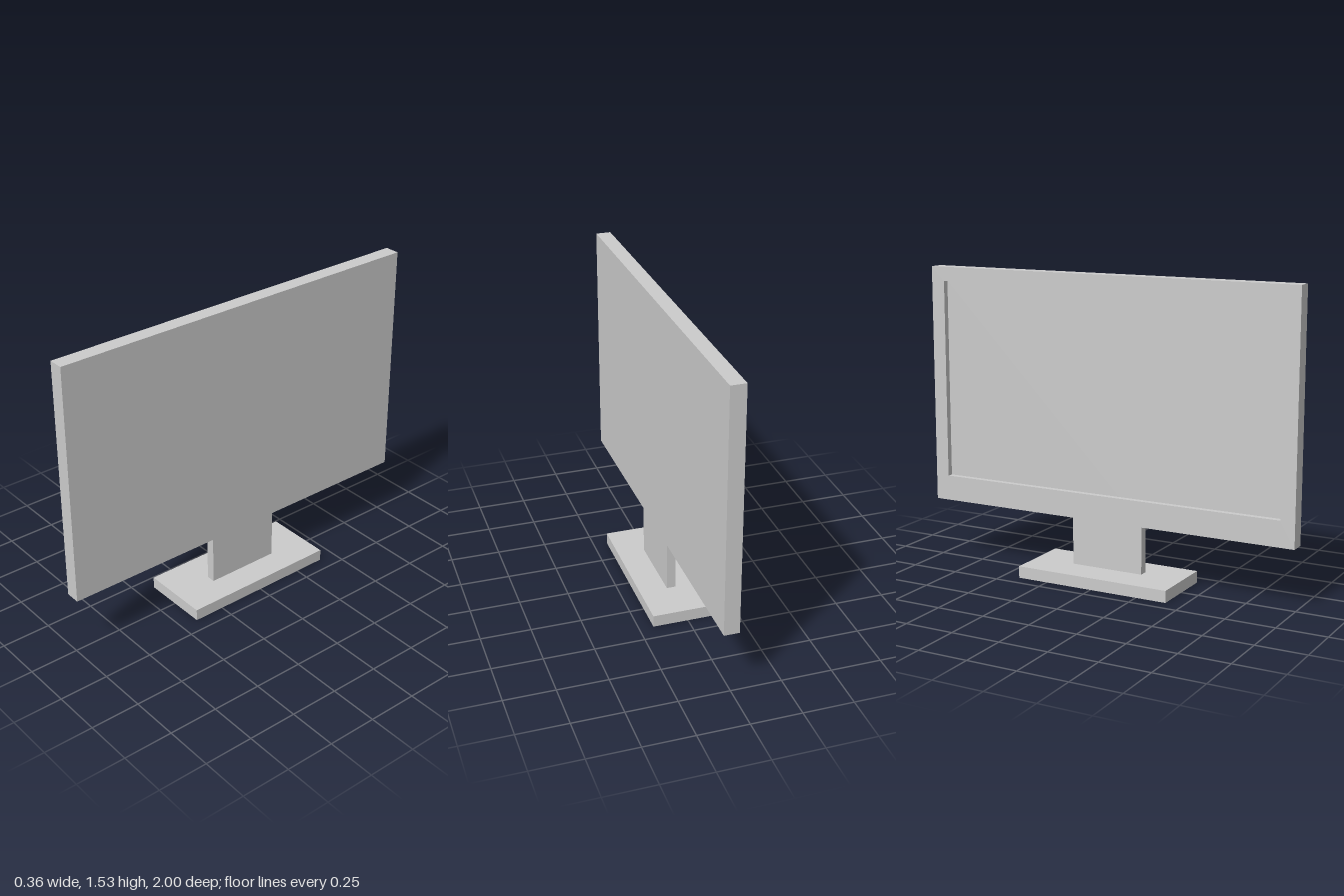
import * as THREE from 'three';

const material = new THREE.MeshStandardMaterial({ color: 0xcccccc, flatShading: true });

const HALF_W = 1, BOTTOM = 0.31, TOP = 1.53;          // panel outline
const FRONT = -0.038, SCREEN = -0.008, BACK = 0.038;  // depth layers along x
const BASE_H = 0.06, NECK_HALF = 0.193;

const points = (list) => list.map(([x, y]) => new THREE.Vector2(x, y));
const rect = (half, y0, y1) => points([[-half, y0], [half, y0], [half, y1], [-half, y1]]);

// Extrudes a side outline (z, y) between two x positions
function slab(name, outline, x0, x1, hole) {
  const shape = new THREE.Shape(outline);
  if (hole) shape.holes.push(new THREE.Path(hole));
  const geometry = new THREE.ExtrudeGeometry(shape, { depth: x1 - x0, bevelEnabled: false });
  geometry.rotateY(Math.PI / 2).translate(x0, 0, 0);
  const mesh = new THREE.Mesh(geometry, material);
  mesh.name = name;
  return mesh;
}

export function createModel() {
  const model = new THREE.Group();
  model.name = 'monitor';

  // Bezel around the recessed screen, with a deeper lower border
  model.add(slab('bezel', rect(HALF_W, BOTTOM, TOP), FRONT, SCREEN, rect(0.927, 0.44, 1.458)));

  // Screen backing and neck share one flush rear surface
  model.add(slab('screenAndNeck', points([
    [-NECK_HALF, BASE_H], [NECK_HALF, BASE_H], [NECK_HALF, BOTTOM], [HALF_W, BOTTOM],
    [HALF_W, TOP], [-HALF_W, TOP], [-HALF_W, BOTTOM], [-NECK_HALF, BOTTOM],
  ]), SCREEN, BACK));

  // Flat foot
  const base = new THREE.Mesh(new THREE.BoxGeometry(0.356, BASE_H, 0.82), material);
  base.name = 'base';
  base.position.y = BASE_H / 2;
  model.add(base);

  return model;
}
